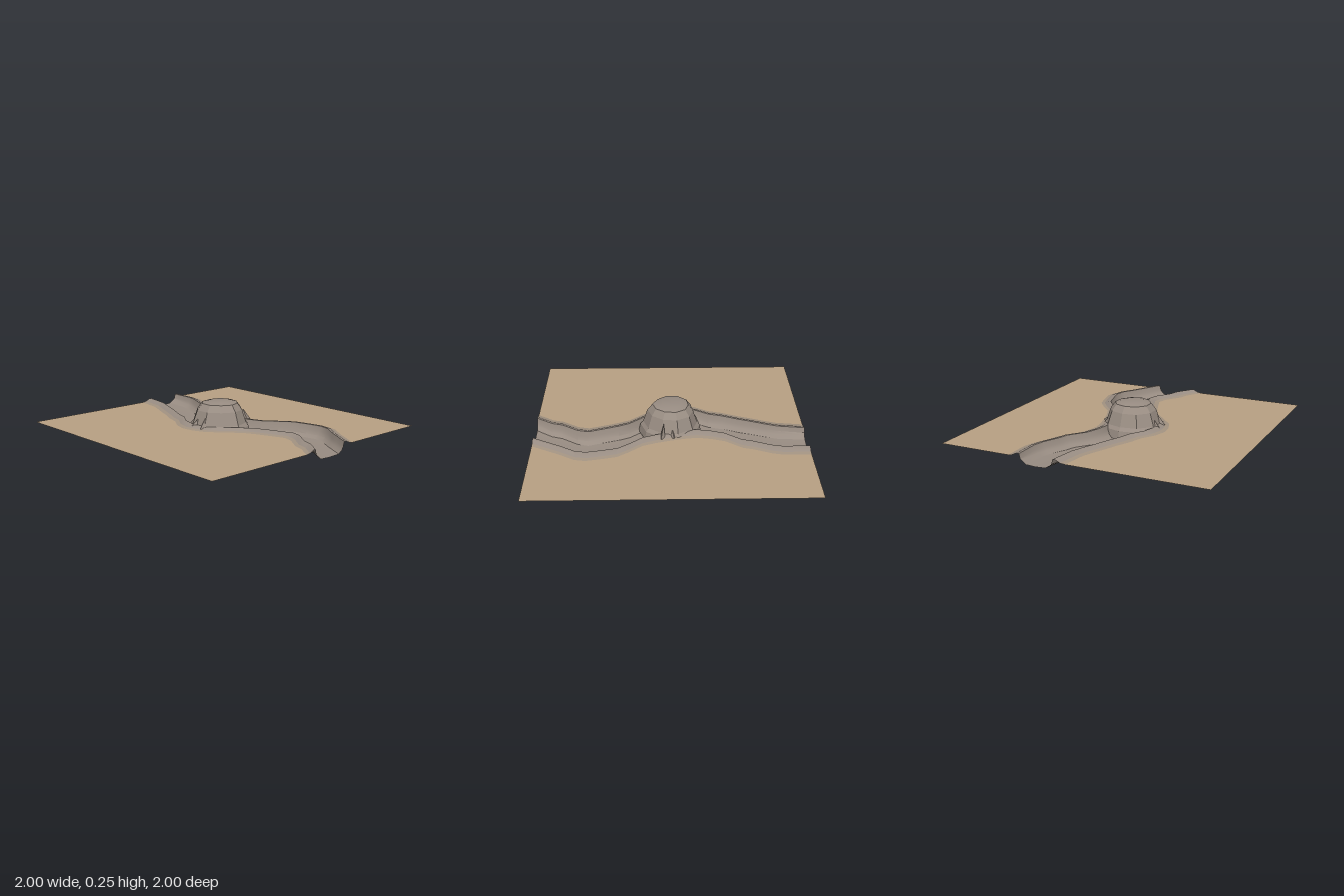
import * as THREE from 'three';
import { toCreasedNormals } from 'three/addons/utils/BufferGeometryUtils.js';

const material = (name, color) => Object.assign(
  new THREE.MeshStandardMaterial({ color, side: THREE.DoubleSide }), { name });

// Skin a grid of points: rows run front or down, columns run sideways
function skin(rows, crease) {
  const n = rows[0].length, index = [];
  for (let i = 0; i < rows.length - 1; i++)
    for (let j = 0; j < n - 1; j++) {
      const a = i * n + j, c = a + n;
      index.push(a, c, a + 1, a + 1, c, c + 1);
    }
  const g = new THREE.BufferGeometry();
  g.setAttribute('position', new THREE.Float32BufferAttribute(rows.flat(2), 3));
  g.setIndex(index);
  return toCreasedNormals(g, crease);
}

export function createModel() {
  const sand = material('sand', 0xb9a184);
  const rock = material('rock', 0x998d83);
  const dust = material('dusty rock', 0xa39381);
  const model = new THREE.Group();
  const add = (name, rows, mat, crease = 0.6) => {
    const mesh = new THREE.Mesh(skin(rows, crease), mat);
    mesh.name = name;
    model.add(mesh);
  };

  // Winding channel: z, left wall x, right wall x, floor height
  const ground = 0.08;
  const stations = [
    [-1, 0.11, 0.36, 0.028], [-0.8, 0.08, 0.36, 0.02], [-0.72, 0.05, 0.34, 0.017],
    [-0.6, 0, 0.285, 0.015], [-0.52, -0.03, 0.26, 0.014], [-0.4, -0.085, 0.165, 0.013],
    [-0.3, -0.115, 0.13, 0.012], [-0.2, -0.18, 0.11, 0.012], [-0.1, -0.21, 0.125, 0.011],
    [0, -0.2, 0.15, 0.01], [0.1, -0.16, 0.18, 0.008], [0.2, -0.07, 0.22, 0.005],
    [0.3, 0.02, 0.31, 0.006], [0.38, 0.06, 0.37, 0.008], [0.5, 0.105, 0.4, 0.01],
    [0.6, 0.14, 0.42, 0.01], [0.68, 0.12, 0.405, 0.011], [0.8, 0.035, 0.325, 0.013],
    [0.88, 0.01, 0.28, 0.015], [1, -0.075, 0.21, 0.02],
  ];
  const loft = (section) => stations.map(([z, l, r, f]) =>
    section(l, r, f).map(([x, y]) => [x, y, z]));

  // Ground on either side of the channel
  add('leftBankGround', loft((l) => [[-1, ground], [l - 0.095, ground]]), sand);
  add('rightBankGround', loft((l, r) => [[r + 0.09, ground], [1, ground]]), sand);
  // Dusty outer skirts of the raised banks
  add('leftSkirt', loft((l) => [[l - 0.095, ground], [l - 0.06, 0.085]]), dust);
  add('rightSkirt', loft((l, r) => [[r + 0.06, 0.085], [r + 0.09, ground]]), dust);
  // Raised rims, walls and floor
  add('channel', loft((l, r, f) => [
    [l - 0.06, 0.085], [l - 0.025, 0.102], [l - 0.005, 0.102], [l + 0.005, 0.065],
    [l + 0.02, f + 0.025], [l + 0.05, f + 0.004], [(l + r) / 2, f],
    [r - 0.05, f + 0.004], [r - 0.02, f + 0.025], [r - 0.005, 0.065],
    [r + 0.005, 0.102], [r + 0.025, 0.102], [r + 0.06, 0.085],
  ]), rock, 0.5);

  // Boulder dome with uneven sides, its ends reaching down to the channel floor
  const sides = 10;
  const wobble = [0.98, 1, 0.96, 1.02, 1.06, 1.02, 0.96, 1.02, 0.97, 0.95];
  const profile = [[0, 0.26], [0.085, 0.26], [0.135, 0.248], [0.172, 0.2], [0.205, 0.105], [0.225, 0.08]];
  const ring = (r, y, grow = 1) => Array.from({ length: sides + 1 }, (_, j) => {
    const a = ((j + 0.4) / sides) * Math.PI * 2, k = r * wobble[j % sides];
    const drop = grow > 1 && Math.abs(Math.sin(a)) > 0.75 ? 0.06 : 0;
    return [k * Math.cos(a) - 0.01, y - drop, -k * Math.sin(a) * (drop ? grow : 1) - 0.01];
  });
  const dome = profile.map(([r, y]) => ring(r, y));
  dome.push(ring(0.225, 0.078, 1.06));
  add('boulderDome', dome, rock, 0.3);

  // Small jagged fins at the sides of the dome
  for (const [x, z, h, turn] of [[-0.2, 0.03, 0.1, 0.1], [-0.21, -0.05, 0.07, -0.3],
    [0.185, 0.05, 0.11, -0.3], [0.18, -0.02, 0.06, 0.2]]) {
    const geometry = toCreasedNormals(new THREE.ConeGeometry(0.035, h, 4), 0.3);
    const fin = new THREE.Mesh(geometry, rock);
    fin.name = 'rockFin';
    fin.scale.set(1.1, 1, 0.6);
    fin.rotation.set(0, turn, x > 0 ? 0.3 : -0.3);
    fin.position.set(x, 0.075 + h / 2, z);
    model.add(fin);
  }
  return model;
}
